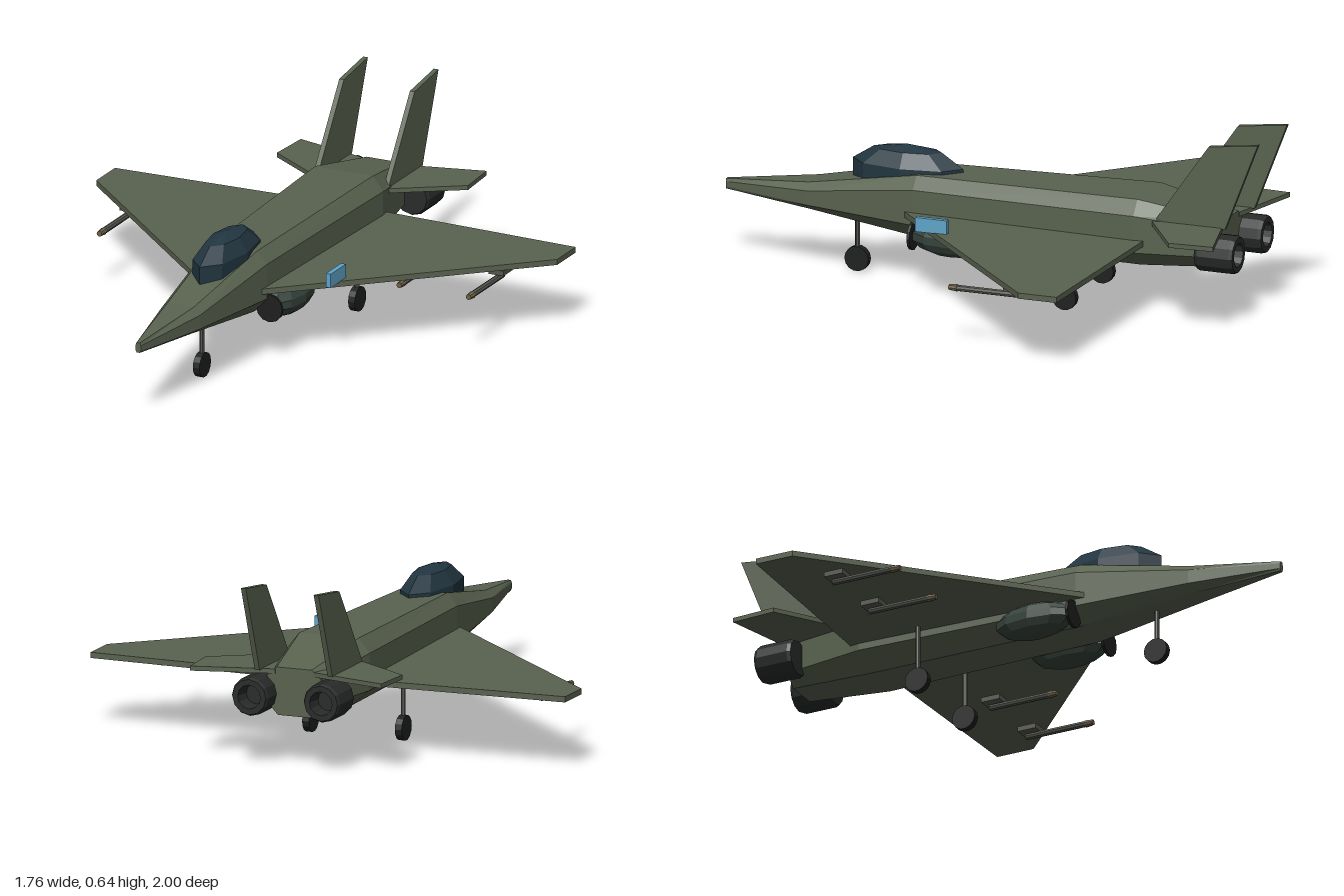
import * as THREE from 'three';

const mat = (color, side = THREE.FrontSide) =>
  new THREE.MeshStandardMaterial({ color, flatShading: true, side });

const OLIVE = mat(0x59624f), GLASS = mat(0x223641), BLACK = mat(0x1e1f1f);
const POD = mat(0x37433c), NOZZLE = mat(0x292b2b, THREE.DoubleSide);
const METAL = mat(0x55564f), TIP = mat(0x6e6248), BLUE = mat(0x5fa5c8);

export function createModel() {
  const model = new THREE.Group();

  const add = (name, geometry, material, x = 0, y = 0, z = 0) => {
    const mesh = new THREE.Mesh(geometry, material);
    mesh.name = name;
    mesh.position.set(x, y, z);
    model.add(mesh);
    return mesh;
  };

  // Flat plate from an outline
  const plate = (outline, depth) => {
    const shape = new THREE.Shape(outline.map(([a, b]) => new THREE.Vector2(a, b)));
    return new THREE.ExtrudeGeometry(shape, { depth, bevelEnabled: false });
  };
  // Horizontal plate, outline in x and z, top face at y = 0
  const flatPlate = (outline, depth) => plate(outline, depth).rotateX(Math.PI / 2);

  // Rod along z, r1 at the front end
  const rod = (r1, r2, length, sides) =>
    new THREE.CylinderGeometry(r1, r2, length, sides).rotateX(Math.PI / 2);

  // Faceted ellipsoid
  const ellipsoid = (rx, ry, rz, w, h) => new THREE.SphereGeometry(1, w, h).scale(rx, ry, rz);

  // Fuselage: eight-sided sections from nose to tail
  // [z, half width, top half width, bottom half width, bottom, low shoulder, high shoulder, top]
  const sections = [
    [1, 0.01, 0.006, 0.006, 0.24, 0.248, 0.266, 0.276],
    [0.68, 0.075, 0.05, 0.04, 0.212, 0.235, 0.285, 0.31],
    [0.27, 0.122, 0.085, 0.07, 0.165, 0.22, 0.345, 0.388],
    [-0.55, 0.15, 0.11, 0.08, 0.16, 0.22, 0.35, 0.4],
    [-0.85, 0.1, 0.065, 0.06, 0.178, 0.22, 0.315, 0.345],
  ];
  add('fuselage', loft(sections), OLIVE);

  // Canopy
  add('canopy', ellipsoid(0.084, 0.1, 0.213, 8, 5), GLASS, 0, 0.37, 0.335);

  // Engine nozzle: hollow at the back
  const nozzle = new THREE.LatheGeometry(
    [[0, 0], [0.062, 0], [0.068, 0.012], [0.068, 0.128], [0.062, 0.14], [0.042, 0.14], [0.036, 0.08], [0, 0.08]]
      .map(([r, y]) => new THREE.Vector2(r, y)), 12).rotateX(-Math.PI / 2);

  for (const s of [1, -1]) {
    const side = s > 0 ? 'left' : 'right';
    const mirror = (outline) => outline.map(([x, z]) => [s * x, z]);

    // Wing and tailplane
    add(side + 'Wing', flatPlate(mirror(
      [[0.06, 0.35], [0.12, 0.3], [0.88, -0.42], [0.88, -0.56], [0.06, -0.587]]), 0.02), OLIVE, 0, 0.265);
    add(side + 'Tailplane', flatPlate(mirror(
      [[0.07, -0.57], [0.14, -0.615], [0.365, -0.765], [0.355, -0.925], [0.07, -0.852]]), 0.016), OLIVE, 0, 0.338);

    // Upright fin, outline in z and y
    add(side + 'Fin', plate([[-0.62, 0.335], [-0.82, 0.622], [-1, 0.645], [-0.88, 0.335]], 0.018)
      .rotateY(-Math.PI / 2), OLIVE, s > 0 ? 0.133 : -0.137);

    // Engine
    add(side + 'Nozzle', nozzle, NOZZLE, s * 0.133, 0.25, -0.79);

    // Intake pod with its front ring
    add(side + 'Pod', ellipsoid(0.067, 0.062, 0.15, 10, 7), POD, s * 0.13, 0.19, 0.12);
    add(side + 'IntakeRing', rod(0.05, 0.05, 0.01, 12), BLACK, s * 0.13, 0.187, 0.265);

    // Pylons and missiles under the wing
    for (const [label, x] of [['Inner', 0.44], ['Outer', 0.705]]) {
      add(side + label + 'Pylon', new THREE.BoxGeometry(0.056, 0.018, 0.07), METAL, s * x, 0.226, -0.34);
      add(side + label + 'Missile', rod(0.011, 0.011, 0.23, 8), METAL, s * x, 0.203, -0.24);
      add(side + label + 'MissileTip', rod(0.01, 0.013, 0.03, 8), TIP, s * x, 0.203, -0.112);
    }
  }

  // Landing gear
  const gear = (name, x, z, top) => {
    add(name + 'Strut', new THREE.CylinderGeometry(0.009, 0.009, top - 0.045, 8), METAL,
      x, (top + 0.045) / 2, z);
    add(name + 'Wheel', new THREE.CylinderGeometry(0.044, 0.044, 0.025, 14).rotateZ(Math.PI / 2), BLACK,
      x, 0.044, z);
  };
  gear('noseGear', 0, 0.52, 0.24);
  gear('leftGear', 0.172, -0.31, 0.25);
  gear('rightGear', -0.172, -0.31, 0.25);

  // Small panel standing on the left leading edge
  add('wingPanel', new THREE.BoxGeometry(0.018, 0.05, 0.115), BLUE, 0.311, 0.288, 0.124);

  return model;
}

// Skin over the fuselage sections, closed at both ends
function loft(sections) {
  const position = [], index = [], n = 8;
  for (const [z, w, t, b, y0, y1, y2, y3] of sections) {
    const ring = [[b, y0], [w, y1], [w, y2], [t, y3], [-t, y3], [-w, y2], [-w, y1], [-b, y0]];
    for (const [x, y] of ring) position.push(x, y, z);
  }
  const last = (sections.length - 1) * n;
  for (let a = 0; a < last; a += n) {
    for (let i = 0; i < n; i++) {
      const j = (i + 1) % n;
      index.push(a + i, a + n + i, a + n + j, a + i, a + n + j, a + j);
    }
  }
  for (let i = 1; i < n - 1; i++) {
    index.push(0, i, i + 1, last, last + i + 1, last + i);
  }
  const geometry = new THREE.BufferGeometry();
  geometry.setAttribute('position', new THREE.Float32BufferAttribute(position, 3));
  geometry.setIndex(index);
  const flat = geometry.toNonIndexed();
  flat.computeVertexNormals();
  return flat;
}
